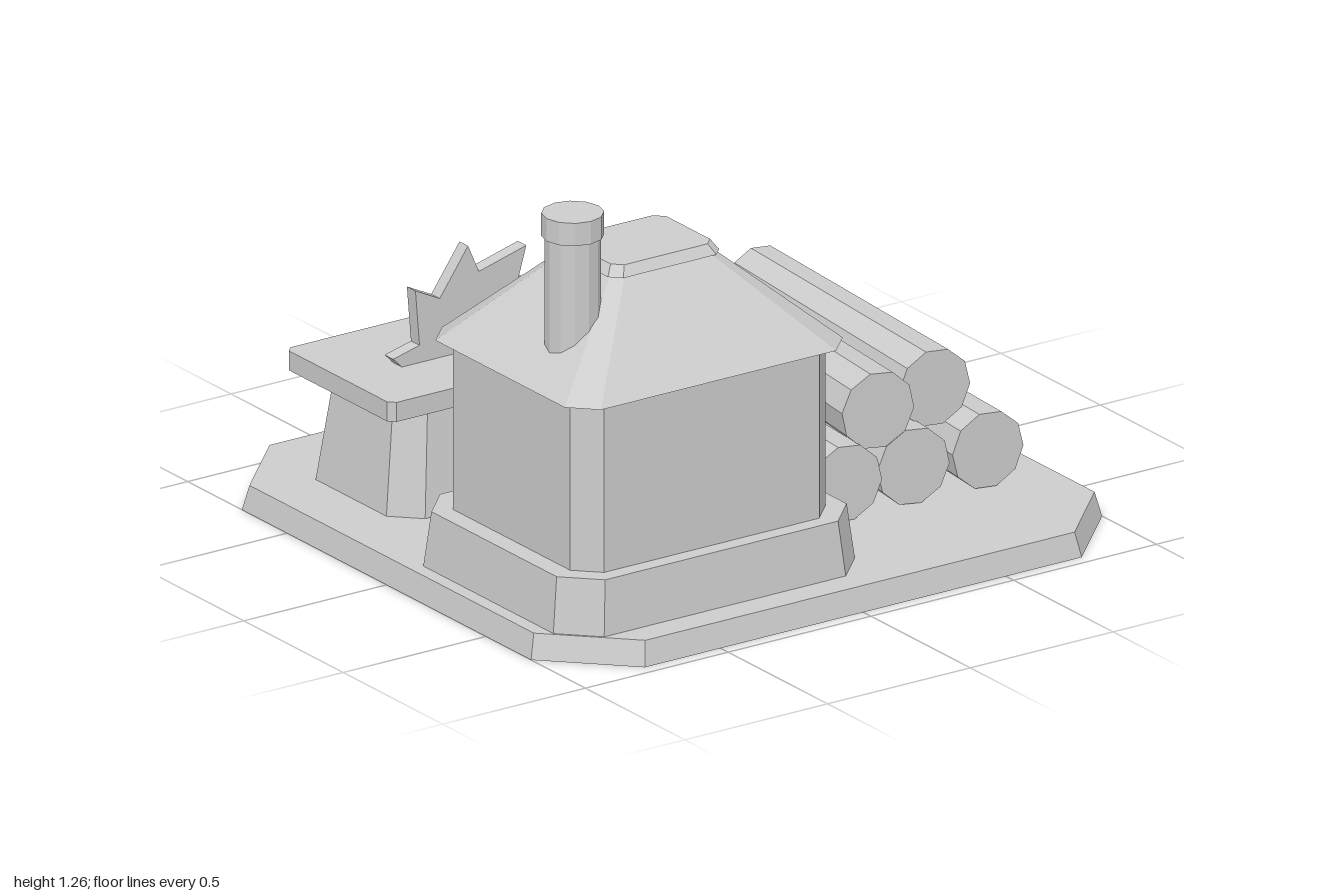
import * as THREE from 'three';

const grey = new THREE.MeshStandardMaterial({ color: 0xcccccc, flatShading: true, side: THREE.DoubleSide });
grey.name = 'plain grey';

// Chamfered rectangular shell, open below; each section is [y, halfX, halfZ, chamfer]
function shell(sections, closedTop = true) {
  const rings = sections.map(([y, a, b, c]) => [
    [a, y, b - c], [a - c, y, b], [c - a, y, b], [-a, y, b - c],
    [-a, y, c - b], [c - a, y, -b], [a - c, y, -b], [a, y, c - b]]);
  const pos = [];
  const tri = (...pts) => pts.forEach(p => pos.push(...p));
  for (let r = 0; r < rings.length - 1; r++) {
    const lo = rings[r], up = rings[r + 1];
    for (let i = 0; i < 8; i++) {
      const j = (i + 1) % 8;
      tri(lo[i], up[i], up[j]);
      tri(lo[i], up[j], lo[j]);
    }
  }
  const top = rings[rings.length - 1];
  for (let i = 1; i < 7 && closedTop; i++) tri(top[0], top[i + 1], top[i]);
  const g = new THREE.BufferGeometry();
  g.setAttribute('position', new THREE.Float32BufferAttribute(pos, 3));
  g.computeVertexNormals();
  return g;
}

const lathe = (points, sides, start = 0) =>
  new THREE.LatheGeometry(points.map(p => new THREE.Vector2(...p)), sides, start);

export function createModel() {
  const model = new THREE.Group();
  model.name = 'sawmill';
  const add = (name, geometry, x = 0, y = 0, z = 0) => {
    const m = new THREE.Mesh(geometry, grey);
    m.name = name;
    m.position.set(x, y, z);
    model.add(m);
    return m;
  };
  const box = (name, w, h, d, x, y, z) => add(name, new THREE.BoxGeometry(w, h, d), x, y, z);

  // Hollow ground slab
  add('groundSlab', shell([[0, 1, 0.962, 0.235], [0.075, 0.982, 0.945, 0.23]]));

  // House: plinth with ledge, walls, roof with eaves, overhanging roof cap
  const hx = -0.41, hz = 0.423;
  const wall = y => [y, 0.447, 0.365, 0.07];
  add('housePlinth', shell([[0.075, 0.528, 0.432, 0.105], [0.242, 0.508, 0.415, 0.1], wall(0.242)], false), hx, 0, hz);
  add('houseWalls', shell([wall(0.242), wall(0.762)], false), hx, 0, hz);
  add('roof', shell([wall(0.762), [0.762, 0.487, 0.4, 0.075], [1.035, 0.182, 0.146, 0.03]], false), hx, 0, hz);
  add('roofCap', shell([[1.035, 0.182, 0.146, 0.03], [1.035, 0.195, 0.158, 0.032],
    [1.066, 0.174, 0.138, 0.028]]), hx, 0, hz - 0.003);

  // Chimney
  add('chimney', lathe([[0.081, 0.74], [0.081, 1.19], [0.091, 1.19],
    [0.091, 1.26], [0, 1.26]], 12), -0.724, 0, 0.54);

  // Windows
  box('sideWindow', 0.02, 0.11, 0.395, 0.035, 0.515, 0.42);
  for (const s of [-1, 1]) box('rearWindow', 0.14, 0.115, 0.03, hx + s * 0.3, 0.52, 0.05);

  // Rear door with posts, lintel and knob
  box('doorPanel', 0.26, 0.37, 0.03, hx, 0.425, 0.045);
  for (const s of [-1, 1]) box('doorPost', 0.035, 0.37, 0.05, hx + s * 0.145, 0.425, 0.045);
  box('doorLintel', 0.4, 0.052, 0.07, hx, 0.633, 0.035);
  const knob = add('doorKnob', new THREE.CylinderGeometry(0.03, 0.03, 0.02, 10), hx, 0.485, 0.028);
  knob.rotation.x = -Math.PI / 2;

  // Round sign above the door
  const sign = add('roundSign', lathe([[0, 0], [0.093, 0], [0.09, 0.024], [0.035, 0.024],
    [0.03, 0.036], [0, 0.036]], 12), hx, 0.79, 0.048);
  sign.rotation.x = -Math.PI / 2;

  // Hollow saw bench
  const bx = -0.389, bz = -0.467;
  add('benchBase', shell([[0.075, 0.41, 0.258, 0.08], [0.458, 0.358, 0.212, 0.07]], false), bx, 0, bz);
  add('benchTop', shell([[0.4, 0.456, 0.267, 0.02], [0.46, 0.456, 0.267, 0.02]]), bx, 0, bz);

  // Toothed circular blade with hub
  const outline = [];
  const teeth = 9;
  for (let i = 0; i < teeth; i++) {
    const tip = THREE.MathUtils.degToRad(98 + i * 360 / teeth);
    for (const [r, a] of [[0.215, tip - 0.12], [0.305, tip]]) {
      outline.push(new THREE.Vector2(r * Math.cos(a), r * Math.sin(a)));
    }
  }
  add('sawBlade', new THREE.ExtrudeGeometry(new THREE.Shape(outline),
    { depth: 0.043, bevelEnabled: false }), -0.378, 0.48, -0.465);
  const hub = add('bladeHub', lathe([[0.088, 0], [0.083, 0.022], [0.035, 0.022],
    [0.03, 0.038], [0, 0.038]], 12), bx, 0.482, -0.464);
  hub.rotation.x = -Math.PI / 2;

  // Tapered log pile: [front x, y, front z, back x]
  const logs = [[0.262, 0.192, 0.5, 0.355], [0.498, 0.192, 0.5, 0.602], [0.748, 0.192, 0.515, 0.824],
    [0.377, 0.39, 0.495, 0.487], [0.613, 0.39, 0.44, 0.69]];
  for (const [x, y, z, backX] of logs) {
    const dir = new THREE.Vector3(backX - x, 0, -0.57 - z);
    const len = dir.length();
    const log = add('log', lathe([[0, 0], [0.119, 0], [0.105, len - 0.015], [0.09, len],
      [0.07, len - 0.008], [0.035, len - 0.008], [0.03, len + 0.008], [0, len + 0.008]],
      10, Math.PI / 10), x, y, z);
    log.quaternion.setFromUnitVectors(new THREE.Vector3(0, 1, 0), dir.normalize());
  }
  return model;
}
